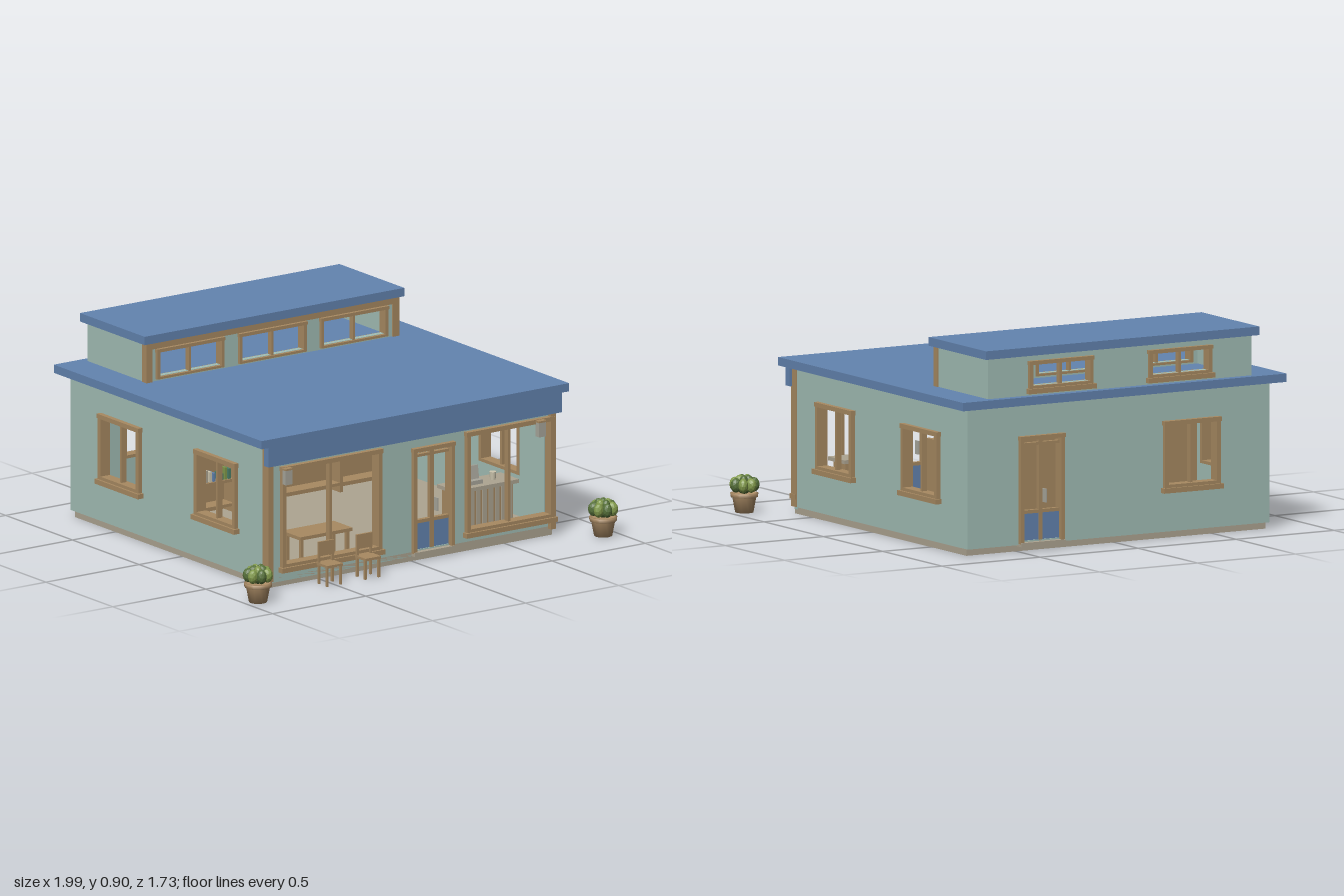
import * as THREE from 'three';

export function createModel() {
  const mat = (name, color) => {
    const m = new THREE.MeshStandardMaterial({ color });
    m.name = name;
    return m;
  };
  const teal = mat('teal wall', 0xa3bfb6), blue = mat('blue roof', 0x6384b0);
  const wood = mat('wood', 0xa88a62), stone = mat('stone', 0xaea592);
  const leaf = mat('leaf', 0x81994b), darkLeaf = mat('dark leaf', 0x56703a);
  const clay = mat('clay', 0xb09069), grey = mat('grey', 0xa9a79c);
  const cream = mat('cream', 0xcfc8b0), bookGreen = mat('book green', 0x4d8068);

  const model = new THREE.Group();
  model.name = 'shop';

  const group = (name, parent = model, x = 0, y = 0, z = 0, ry = 0) => {
    const g = new THREE.Group();
    g.name = name;
    g.position.set(x, y, z);
    g.rotation.y = ry;
    parent.add(g);
    return g;
  };
  const mesh = (name, parent, geo, m) => {
    const o = new THREE.Mesh(geo, m);
    o.name = name;
    parent.add(o);
    return o;
  };
  // box given by its limits on each axis
  const box = (name, p, m, x0, x1, y0, y1, z0, z1) => {
    const o = mesh(name, p, new THREE.BoxGeometry(x1 - x0, y1 - y0, z1 - z0), m);
    o.position.set((x0 + x1) / 2, (y0 + y1) / 2, (z0 + z1) / 2);
    return o;
  };
  // wall with openings, its outer face on local z = 0
  const wall = (g, x0, x1, y0, y1, openings, t = 0.03) => {
    const rect = (Type, a, b, c, d) => {
      const s = new Type();
      s.moveTo(a, c); s.lineTo(b, c); s.lineTo(b, d); s.lineTo(a, d); s.closePath();
      return s;
    };
    const s = rect(THREE.Shape, x0, x1, y0, y1);
    const i = 0.012;
    for (const [a, b, c, d] of openings) s.holes.push(rect(THREE.Path, a + i, b - i, c + i, d - i));
    const geo = new THREE.ExtrudeGeometry(s, { depth: t, bevelEnabled: false });
    mesh('wall', g, geo.translate(0, 0, -t), teal);
  };
  // open window frame with a centre bar
  const frame = (g, [x0, x1, y0, y1], sill = true, w = 0.02, out = 0.02) => {
    const f = group('window', g), back = -0.032, cx = (x0 + x1) / 2;
    box('leftJamb', f, wood, x0, x0 + w, y0, y1, back, out);
    box('rightJamb', f, wood, x1 - w, x1, y0, y1, back, out);
    box('head', f, wood, x0 - 0.003, x1 + 0.003, y1 - w, y1, back, out + 0.003);
    box('bottomRail', f, wood, x0 + w, x1 - w, y0, y0 + w * 0.7, back, out);
    box('centreBar', f, wood, cx - 0.006, cx + 0.006, y0 + w * 0.7, y1 - w, -0.02, 0.006);
    if (sill) box('sill', f, wood, x0 - 0.01, x1 + 0.01, y0 - 0.022, y0, -0.02, out + 0.01);
  };
  // glazed double door with blue lower panels
  const door = (g, [x0, x1, y0, y1]) => {
    const d = group('door', g), cx = (x0 + x1) / 2, w = 0.018;
    box('leftJamb', d, wood, x0, x0 + w, y0, y1, -0.032, 0.02);
    box('rightJamb', d, wood, x1 - w, x1, y0, y1, -0.032, 0.02);
    box('head', d, wood, x0 - 0.003, x1 + 0.003, y1 - w, y1, -0.032, 0.023);
    box('threshold', d, stone, x0, x1, y0 - 0.012, y0 + 0.006, -0.032, 0.025);
    box('panels', d, blue, x0 + w, x1 - w, y0 + 0.006, 0.165, -0.018, -0.004);
    box('middleRail', d, wood, x0 + w, x1 - w, 0.165, 0.18, -0.02, 0);
    box('topRail', d, wood, x0 + w, x1 - w, y1 - 0.045, y1 - 0.033, -0.02, 0);
    box('centreStile', d, wood, cx - 0.01, cx + 0.01, y0 + 0.006, y1 - w, -0.02, 0);
    box('handle', d, grey, cx + 0.014, cx + 0.02, 0.21, 0.27, -0.01, 0.02);
  };

  // base and floor
  box('foundation', model, stone, -0.77, 0.755, 0, 0.04, -0.80, 0.645);

  // front wall
  const front = group('frontWall', model, 0, 0, 0.645);
  const shopWindows = [[-0.705, -0.17, 0.085, 0.54], [0.285, 0.755, 0.085, 0.54]];
  const frontDoor = [0, 0.22, 0.035, 0.51];
  wall(front, -0.76, 0.757, 0.02, 0.65, [...shopWindows, frontDoor], 0.025);
  shopWindows.forEach(w => frame(front, w));
  door(front, frontDoor);
  box('leftPost', front, wood, 0.733, 0.762, 0.03, 0.65, -0.025, 0.02);
  box('rightPost', front, wood, -0.782, -0.755, 0.03, 0.65, -0.025, 0.02);
  for (const x of [-0.69, 0.67]) {
    box('wallLamp', front, grey, x - 0.018, x + 0.018, 0.465, 0.53, 0.02, 0.046);
    box('lampCap', front, wood, x - 0.021, x + 0.021, 0.53, 0.538, 0.015, 0.048);
  }

  // side walls, two windows each
  for (const s of [1, -1]) {
    const g = group(s > 0 ? 'leftWall' : 'rightWall', model, s > 0 ? 0.76 : -0.78, 0, 0, s * Math.PI / 2);
    const openings = [[0.13, 0.435], [-0.59, -0.285]].map(([a, b]) =>
      s > 0 ? [-b, -a, 0.225, 0.52] : [a, b, 0.225, 0.52]);
    wall(g, s > 0 ? -0.62 : -0.79, s > 0 ? 0.79 : 0.62, 0.03, 0.65, openings);
    openings.forEach(o => frame(g, o));
  }

  // back wall
  const back = group('backWall', model, 0, 0, -0.82, Math.PI);
  const backDoor = [-0.50, -0.275, 0.035, 0.51], backWindow = [0.235, 0.52, 0.225, 0.52];
  wall(back, -0.76, 0.78, 0.03, 0.65, [backDoor, backWindow]);
  door(back, backDoor);
  frame(back, backWindow);

  // main roof
  box('mainRoof', model, blue, -0.84, 0.81, 0.65, 0.687, -0.863, 0.695);
  box('roofFascia', model, blue, -0.80, 0.775, 0.56, 0.65, 0.655, 0.69);

  // raised roof light
  const top = group('roofLight');
  box('upperRoof', top, blue, -0.71, 0.683, 0.865, 0.903, -0.848, -0.363);
  const topFront = group('upperFrontWall', top, 0, 0, -0.385);
  const highFront = [[-0.635, -0.275], [-0.193, 0.167], [0.245, 0.605]].map(a => [...a, 0.695, 0.832]);
  wall(topFront, -0.68, 0.655, 0.687, 0.865, highFront, 0.025);
  highFront.forEach(w => frame(topFront, w, false, 0.015, 0.013));
  box('topBeam', topFront, wood, -0.692, 0.665, 0.835, 0.865, -0.025, 0.01);
  box('leftPost', topFront, wood, 0.632, 0.665, 0.687, 0.835, -0.025, 0.01);
  box('rightPost', topFront, wood, -0.692, -0.66, 0.687, 0.835, -0.025, 0.01);
  const topBack = group('upperBackWall', top, 0, 0, -0.826, Math.PI);
  const highBack = [[0.155, 0.475], [-0.455, -0.13]].map(a => [...a, 0.718, 0.84]);
  wall(topBack, -0.66, 0.685, 0.687, 0.865, highBack, 0.025);
  highBack.forEach(w => frame(topBack, w, true, 0.017, 0.015));
  box('upperLeftWall', top, teal, 0.635, 0.66, 0.687, 0.865, -0.801, -0.41);
  box('upperRightWall', top, teal, -0.685, -0.66, 0.687, 0.865, -0.801, -0.41);

  // bookshelves with rows of books
  const bookColors = [bookGreen, cream, leaf, stone, bookGreen, grey, blue];
  const shelf = (name, x0, x1) => {
    const g = group(name), z0 = -0.43, z1 = -0.34;
    box('backPanel', g, wood, x0, x1, 0.04, 0.455, z0, z0 + 0.012);
    const bays = Math.max(1, Math.round((x1 - x0) / 0.35));
    for (let i = 0; i <= bays; i++) {
      const x = x0 + (x1 - x0 - 0.016) * i / bays;
      box('upright', g, wood, x, x + 0.016, 0.04, 0.455, z0, z1);
    }
    for (const y of [0.07, 0.18, 0.305, 0.44]) box('board', g, wood, x0, x1, y, y + 0.013, z0, z1 - 0.002);
    for (const y of [0.193, 0.318]) {
      for (let i = 0, x = x0 + 0.03; x < x1 - 0.03; i++) {
        const h = 0.03 + 0.008 * ((i * 3) % 4);
        box('book', g, bookColors[(i * 5 + (y > 0.2 ? 2 : 0)) % 7], x, x + 0.012, y, y + h, z0 + 0.03, z1 - 0.01);
        x += i % 4 === 3 ? 0.042 : 0.02;
      }
    }
  };
  shelf('rightBookshelf', -0.645, -0.23);
  shelf('leftBookshelf', -0.02, 0.68);
  box('tallCabinet', model, wood, -0.645, -0.605, 0.04, 0.41, 0.33, 0.41);

  // shop counter with slatted front and till
  const counter = group('counter');
  box('counterBody', counter, wood, 0.31, 0.62, 0.04, 0.235, 0.44, 0.54);
  box('counterTop', counter, stone, 0.295, 0.635, 0.235, 0.252, 0.425, 0.565);
  for (let i = 0; i < 9; i++) {
    const x = 0.318 + i * 0.034;
    box('slat', counter, stone, x, x + 0.022, 0.06, 0.23, 0.54, 0.546);
  }
  box('tillBase', counter, grey, 0.385, 0.465, 0.252, 0.27, 0.46, 0.53);
  box('tillScreen', counter, grey, 0.39, 0.46, 0.27, 0.33, 0.485, 0.505).rotation.x = -0.15;
  for (const x of [0.34, 0.54]) {
    const jar = mesh('jar', counter, new THREE.CylinderGeometry(0.016, 0.013, 0.035, 10), cream);
    jar.position.set(x, 0.27, 0.5);
  }

  // display table behind the right-hand shop window
  box('tableTop', model, wood, -0.55, -0.27, 0.165, 0.18, 0.44, 0.58);
  for (const x of [-0.54, -0.295]) for (const z of [0.45, 0.555])
    box('tableLeg', model, wood, x, x + 0.015, 0.04, 0.165, z, z + 0.015);

  // outdoor chairs
  for (const x of [-0.51, -0.305]) {
    const c = group('chair', model, x, 0, 0.74);
    box('seat', c, wood, -0.042, 0.042, 0.085, 0.096, -0.035, 0.045);
    box('backrest', c, wood, -0.042, 0.042, 0.125, 0.19, -0.03, -0.02);
    for (const s of [-1, 1]) {
      box('backLeg', c, wood, s * 0.036 - 0.005, s * 0.036 + 0.005, 0, 0.185, -0.032, -0.021);
      box('frontLeg', c, wood, s * 0.036 - 0.005, s * 0.036 + 0.005, 0, 0.085, 0.03, 0.04);
    }
  }

  // potted plants
  const lobe = new THREE.IcosahedronGeometry(1, 1);
  const potPoints = [[0, 0], [0.04, 0], [0.053, 0.068], [0.06, 0.068], [0.062, 0.086], [0.052, 0.086], [0.05, 0.078], [0, 0.078]];
  for (const [x, z] of [[-0.935, 0.80], [0.928, 0.785]]) {
    const p = group('pottedPlant', model, x, 0, z, x);
    mesh('pot', p, new THREE.LatheGeometry(potPoints.map(a => new THREE.Vector2(...a)), 14), clay);
    const add = (m, r, a, y, sx, sy) => {
      const o = mesh('leafLobe', p, lobe, m);
      o.position.set(Math.cos(a) * r, y, Math.sin(a) * r);
      o.rotation.y = -a;
      o.scale.set(sx, sy, sx * 0.85);
    };
    for (let i = 0; i < 7; i++) {
      const a = i * Math.PI * 2 / 7;
      add(i % 2 ? darkLeaf : leaf, 0.042, a, 0.122, 0.026, 0.033);
      if (i < 5) add(i % 2 ? leaf : darkLeaf, 0.02, a * 1.4, 0.14, 0.022, 0.027);
    }
    add(darkLeaf, 0, 0, 0.115, 0.04, 0.035);
  }
  for (const m of [leaf, darkLeaf]) m.flatShading = true;

  return model;
}
